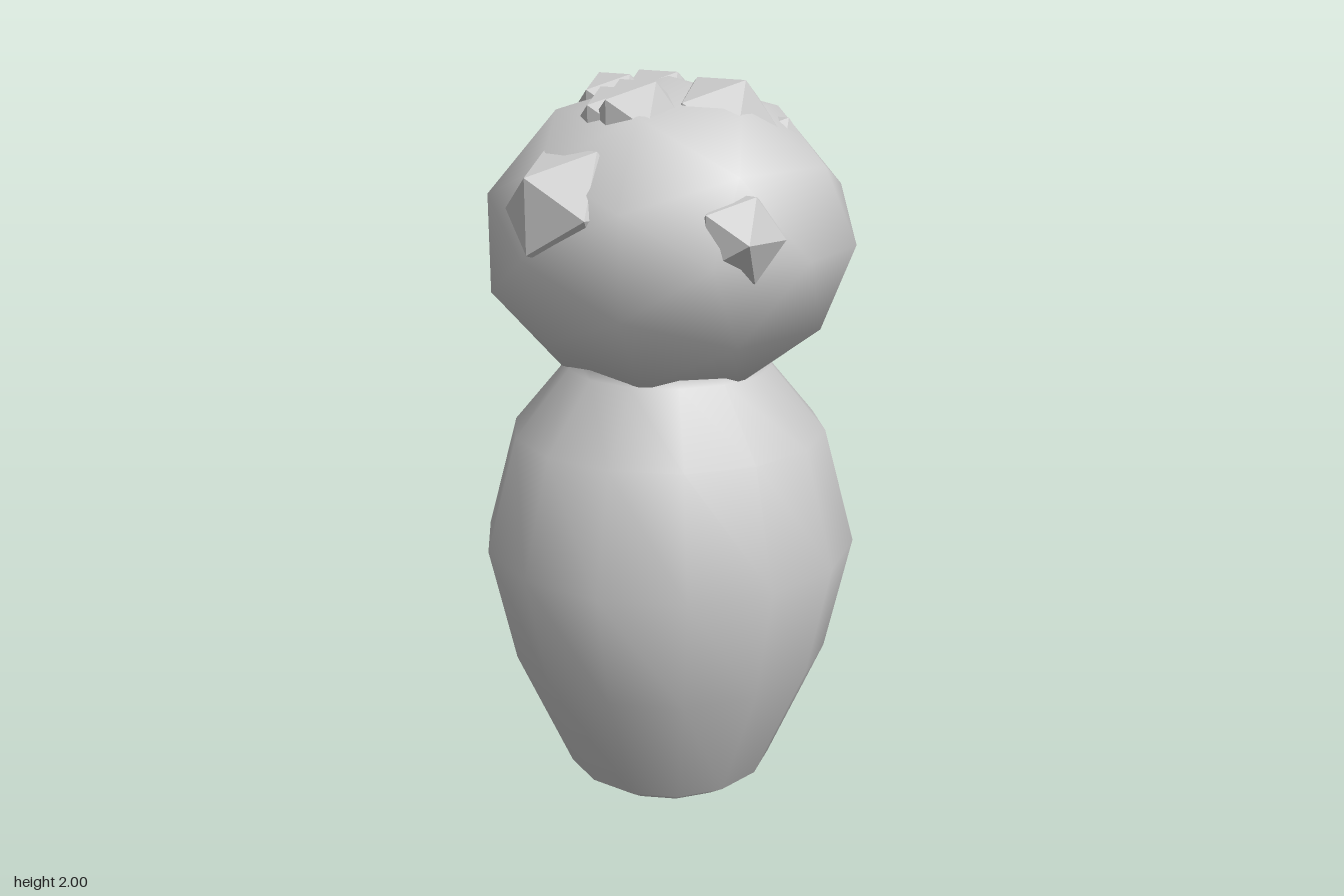
import * as THREE from 'three';

export function createModel() {
  const model = new THREE.Group();
  const clay = new THREE.MeshStandardMaterial({ color: 0xcccccc });
  clay.name = 'light grey';

  const add = (name, geometry, parent = model) => {
    const mesh = new THREE.Mesh(geometry, clay);
    mesh.name = name;
    parent.add(mesh);
    return mesh;
  };

  // Rounded pot: 14-sided lathe, its neck ending inside the crown
  const profile = [
    [0.23, 0], [0.297, 0.047], [0.452, 0.405], [0.523, 0.735],
    [0.436, 1.055], [0.285, 1.235], [0.288, 1.29],
  ].map(([r, y]) => new THREE.Vector2(r, y));
  add('pot', new THREE.LatheGeometry(profile, 14));

  // Flat underside
  add('potBase', new THREE.CircleGeometry(0.23, 14, Math.PI / 2).rotateX(Math.PI / 2));

  // Squashed crown
  add('crown', new THREE.IcosahedronGeometry(1, 1).scale(0.505, 0.42, 0.505).translate(0, 1.58, 0));

  // Faceted buds half sunk into the crown: x, y, z, radius
  const buds = new THREE.Group();
  buds.name = 'buds';
  model.add(buds);
  [
    [-0.184, 1.875, -0.136, 0.147],
    [-0.178, 1.9, 0.03, 0.118],
    [0.166, 1.861, -0.025, 0.163],
    [0.075, 1.892, 0.178, 0.127],
    [0.005, 1.88, 0.185, 0.117],
    [0.025, 1.69, 0.353, 0.179],
    [-0.295, 1.69, 0, 0.19],
    [0.39, 1.643, 0.147, 0.123],
    [0.2, 1.79, -0.17, 0.13],
  ].forEach(([x, y, z, r]) => {
    add('bud', new THREE.IcosahedronGeometry(r, 0), buds).position.set(x, y, z);
  });

  return model;
}
